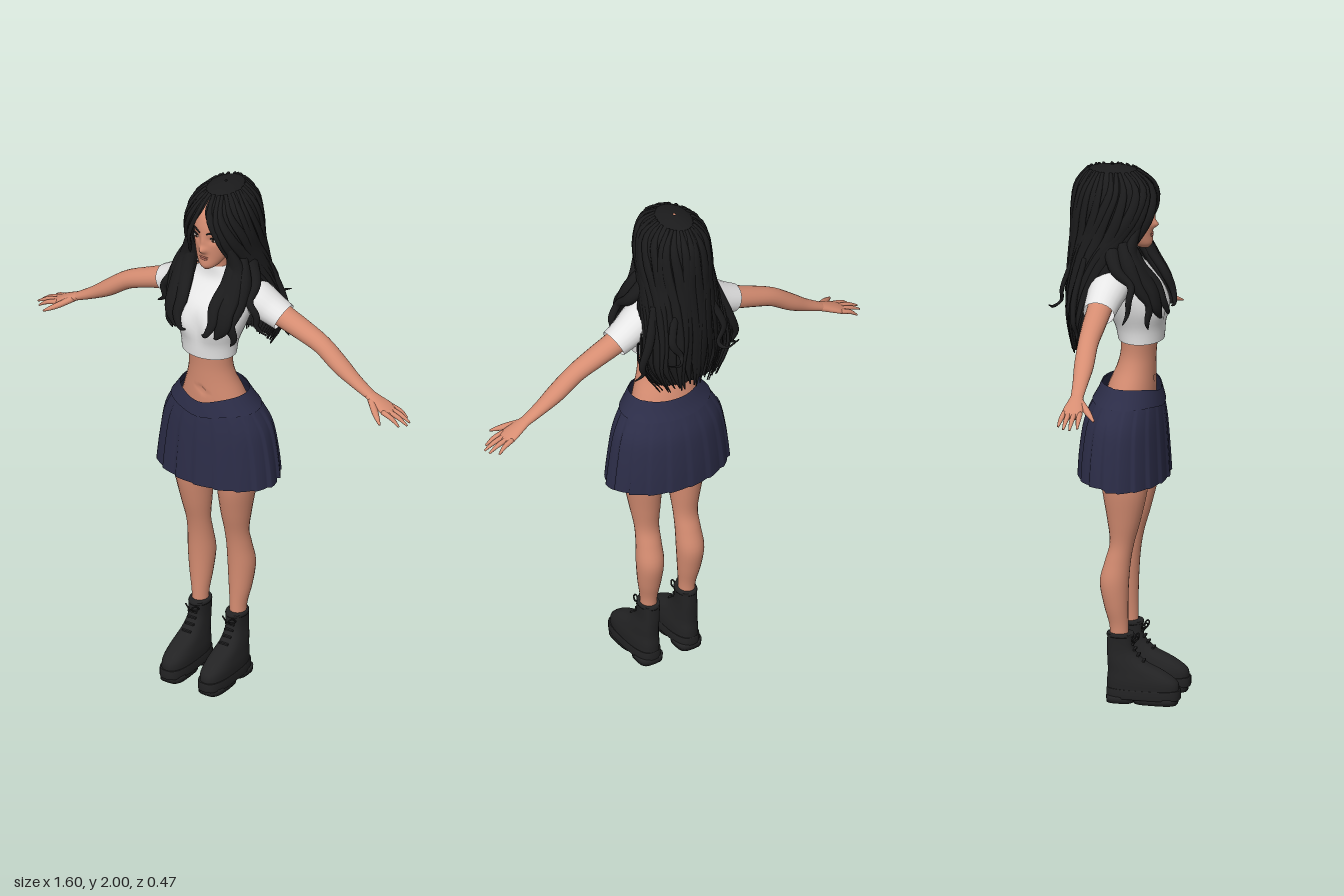
import * as THREE from 'three';

const material = (name, color, double) => {
  const m = new THREE.MeshStandardMaterial({ color });
  m.name = name;
  if (double) m.side = THREE.DoubleSide;
  return m;
};
const gauss = (d, w) => Math.exp(-(d * d) / (w * w));

// Smooth interpolation through rows of numbers
function sample(rows, t) {
  const n = rows.length - 1, f = t * n, i = Math.min(Math.floor(f), n - 1), k = f - i;
  const row = j => rows[Math.max(0, Math.min(n, j))];
  return rows[0].map((_, c) => {
    const a = row(i - 1)[c], b = row(i)[c], d = row(i + 1)[c], e = row(i + 2)[c];
    return b + 0.5 * k * (d - a + k * (2 * a - 5 * b + 4 * d - e + k * (3 * (b - d) + e - a)));
  });
}

// Sweeps an ellipse along rows of [x, y, z, width radius, depth radius].
// Without "up" the rings stay level and the rows must run from bottom to top.
function sweep(rows, { segs = 20, steps = 24, up, warp, power = 1, cap = true } = {}) {
  const pos = [], index = [];
  for (let j = 0; j <= steps; j++) {
    const t = j / steps, [x, y, z, a, b] = sample(rows, t);
    const U = new THREE.Vector3(1, 0, 0), V = new THREE.Vector3(0, 0, 1);
    if (up) {
      const p = sample(rows, Math.max(0, t - 0.01)), q = sample(rows, Math.min(1, t + 0.01));
      const T = new THREE.Vector3(q[0] - p[0], q[1] - p[1], q[2] - p[2]).normalize();
      V.copy(up).addScaledVector(T, -T.dot(up)).normalize();
      U.crossVectors(T, V);
    }
    for (let i = 0; i < segs; i++) {
      const th = i / segs * Math.PI * 2, s = Math.sin(th), c = Math.cos(th);
      const P = new THREE.Vector3(x, y, z)
        .addScaledVector(U, Math.sign(s) * Math.abs(s) ** power * Math.max(a, 0.0008))
        .addScaledVector(V, Math.sign(c) * Math.abs(c) ** power * Math.max(b, 0.0008));
      if (warp) warp(P, th, t);
      pos.push(P.x, P.y, P.z);
    }
  }
  for (let j = 0; j < steps; j++) for (let i = 0; i < segs; i++) {
    const a = j * segs + i, b = j * segs + (i + 1) % segs;
    index.push(a, b, a + segs, b, b + segs, a + segs);
  }
  if (cap) for (const end of [0, 1]) {
    const c = pos.length / 3, base = end * steps * segs;
    pos.push(...sample(rows, end).slice(0, 3));
    for (let i = 0; i < segs; i++) {
      const a = base + i, b = base + (i + 1) % segs;
      index.push(c, end ? a : b, end ? b : a);
    }
  }
  return geometry(pos, index);
}

function geometry(pos, index) {
  const g = new THREE.BufferGeometry();
  g.setAttribute('position', new THREE.Float32BufferAttribute(pos, 3));
  g.setIndex(index);
  g.computeVertexNormals();
  return g;
}

export function createModel() {
  const model = new THREE.Group();
  const skin = material('skin', 0xd68d72), white = material('white cloth', 0xe6e6e6, true);
  const navy = material('navy cloth', 0x2c2d48, true), hair = material('black hair', 0x1b1b1c, true);
  const leather = material('black leather', 0x232324), lip = material('lips', 0xb56c5c);
  const eyeWhite = material('eye white', 0xe9e2dc), iris = material('dark brown', 0x35211a);
  const add = (name, geo, mat) => {
    const m = new THREE.Mesh(geo, mat);
    m.name = name;
    model.add(m);
    return m;
  };
  const ball = (name, mat, x, y, z, a, b, c) => {
    const m = add(name, new THREE.SphereGeometry(1, 20, 14), mat);
    m.position.set(x, y, z);
    m.scale.set(a, b, c);
  };
  const mirror = (rows, s) => rows.map(([x, ...rest]) => [x * s, ...rest]);
  const Z = new THREE.Vector3(0, 0, 1);

  // Torso, briefs and neck
  add('midriff', sweep([[0, .95, .03, .16, .12], [0, 1.08, .03, .15, .1], [0, 1.18, .045, .118, .085],
    [0, 1.25, .06, .094, .07], [0, 1.31, .068, .086, .064], [0, 1.39, .072, .096, .068]],
    { segs: 32, warp: p => { if (p.z > .08) p.z -= .012 * gauss(p.x, .008) * gauss(p.y - 1.2, .01); } }), skin);
  add('briefs', sweep([[0, .835, .03, .02, .04], [0, .87, .03, .09, .09], [0, .96, .03, .158, .12]], { segs: 28, steps: 10 }), white);
  add('neck', sweep([[0, 1.62, .01, .05, .045], [0, 1.69, .022, .04, .04], [0, 1.77, .03, .045, .05]], { steps: 10 }), skin);

  // Cropped top
  add('croppedTop', sweep([[0, 1.355, .078, .106, .083], [0, 1.41, .074, .113, .092], [0, 1.48, .064, .137, .118],
    [0, 1.55, .04, .152, .112], [0, 1.605, .016, .15, .086], [0, 1.643, .012, .092, .06], [0, 1.69, .021, .043, .044]],
    { segs: 40, cap: false, warp: p => { if (p.z > .05) p.z -= .02 * gauss(p.x, .03) * gauss(p.y - 1.48, .05); } }), white);

  // Skirt with pleats that open toward the hem
  const dip = p => { if (p.z > 0) p.y -= .028 * gauss(p.x, .08) * Math.max(0, (p.y - 1) / .19); };
  add('skirt', sweep([[0, .832, .016, .25, .166], [0, .93, .016, .238, .16], [0, 1.04, .02, .217, .148],
    [0, 1.11, .03, .183, .13], [0, 1.15, .037, .156, .116], [0, 1.185, .042, .134, .106]],
    { segs: 144, cap: false, warp: (p, th, t) => {
      const pleat = 1 - .045 * (1 - t) * ((th / Math.PI / 2 * 18) % 1);
      p.x *= pleat;
      p.z *= pleat;
      if (p.z < 0) p.y += .012 * (1 - t);
      dip(p);
    } }), navy);
  add('waistband', sweep([[0, 1.125, .032, .178, .13], [0, 1.155, .038, .156, .119], [0, 1.192, .043, .132, .107]],
    { segs: 48, steps: 8, cap: false, warp: dip }), navy);

  for (const s of [1, -1]) {
    const side = s > 0 ? 'left' : 'right';
    const limb = (name, rows, mat, opt) => add(side + name, sweep(mirror(rows, s), opt), mat);

    // Arm, sleeve and hand
    limb('Arm', [[.14, 1.58, -.02, .048, .05], [.24, 1.525, -.024, .043, .045], [.33, 1.49, -.025, .038, .042],
      [.42, 1.452, -.025, .034, .037], [.5, 1.395, -.022, .031, .036], [.57, 1.35, -.02, .022, .028],
      [.645, 1.31, -.018, .014, .022]], skin, { up: Z });
    limb('Sleeve', [[.09, 1.59, -.005, .055, .07], [.14, 1.573, -.012, .062, .072], [.2, 1.54, -.02, .057, .064],
      [.255, 1.515, -.023, .051, .058]], white, { up: Z, steps: 14, cap: false });
    limb('Palm', [[.625, 1.32, -.018, .015, .022], [.66, 1.303, -.018, .015, .03], [.7, 1.284, -.019, .013, .038],
      [.73, 1.27, -.02, .009, .034]], skin, { up: Z, steps: 10 });
    [[.01, .016, .78], [-.01, -.008, .8], [-.03, -.032, .795], [-.047, -.057, .768]].forEach(([z0, z1, x]) =>
      limb('Finger', [[.705, 1.281, z0, .009, .01], [(x + .715) / 2, 1.268, (z0 + z1) / 2, .008, .009],
        [x, 1.246, z1, .003, .004]], skin, { up: Z, segs: 10, steps: 8 }));
    limb('Thumb', [[.645, 1.308, -.005, .012, .014], [.685, 1.285, .03, .011, .013], [.71, 1.272, .05, .008, .009],
      [.73, 1.262, .066, .003, .004]], skin, { up: Z, segs: 10, steps: 10 });

    // Leg
    limb('Leg', [[.082, .2, .015, .03, .033], [.082, .28, .013, .031, .034], [.085, .36, .003, .043, .044],
      [.086, .45, -.003, .051, .053], [.084, .53, .01, .047, .047], [.083, .6, .025, .046, .045],
      [.086, .69, .033, .057, .062], [.092, .81, .037, .07, .084], [.09, .93, .035, .078, .09]], skin, { steps: 36, segs: 24 });

    // Boot: upper, sole, heel and laces
    limb('Boot', [[.083, .04, .103, .05, .132], [.083, .08, .1, .051, .13], [.083, .115, .078, .046, .105],
      [.083, .15, .042, .04, .07], [.081, .195, .02, .035, .05], [.08, .255, .018, .036, .047]], leather, { power: .8, segs: 28 });
    limb('Sole', [[.083, .018, .105, .05, .133], [.083, .022, .105, .053, .136], [.083, .05, .105, .053, .136],
      [.083, .053, .105, .051, .134]], leather, { power: .7, segs: 32, steps: 6 });
    for (const [z, r] of [[.02, .05], [.15, .08]])
      limb('Tread', [[.083, 0, z, .047, r], [.083, .025, z, .05, r]], leather, { power: .6, steps: 2 });
    limb('Cuff', [[.08, .243, .018, .038, .049], [.08, .25, .018, .04, .051], [.08, .258, .018, .037, .048]], leather, { steps: 4 });
    for (const d of [1, -1]) {
      const loop = add(side + 'LaceLoop', new THREE.TorusGeometry(.013, .003, 6, 16), leather);
      loop.position.set(s * .08 + d * .016, .237, .076);
      loop.rotation.set(.6, d * .6, 0);
    }
    for (let i = 0; i < 4; i++) {
      const lace = add(side + 'Lace', new THREE.BoxGeometry(.036, .006, .008), leather);
      lace.position.set(s * .081, .155 + i * .021, [.105, .086, .073, .067][i]);
    }

    // Eye, lash line and brow
    ball(side + 'EyeWhite', eyeWhite, s * .036, 1.826, .098, .017, .008, .012);
    ball(side + 'Iris', iris, s * .036, 1.826, .104, .007, .0075, .0075);
    limb('LashLine', [[.016, 1.829, .107, .002, .003], [.036, 1.836, .108, .0035, .004], [.057, 1.83, .095, .002, .003]],
      hair, { up: Z, segs: 8, steps: 10 });
    limb('Brow', [[.014, 1.851, .119, .003, .003], [.038, 1.859, .111, .004, .003], [.062, 1.852, .088, .002, .003]],
      hair, { up: Z, segs: 8, steps: 10 });
  }

  // Head with nose and eye sockets
  add('head', sweep([[0, 1.697, .088, .014, .018], [0, 1.715, .074, .038, .044], [0, 1.75, .052, .06, .066],
    [0, 1.79, .037, .072, .083], [0, 1.83, .03, .078, .091], [0, 1.88, .02, .08, .098], [0, 1.93, .008, .07, .09],
    [0, 1.97, -.005, .035, .05]], { segs: 56, steps: 56, warp: p => {
    if (p.z < .06) return;
    p.z += .02 * gauss(p.x, .014) * gauss(p.y - 1.785, .014) + .008 * gauss(p.x, .009) * gauss(p.y - 1.815, .025);
    p.z -= .008 * gauss(Math.abs(p.x) - .036, .02) * gauss(p.y - 1.826, .014);
  } }), skin);
  ball('upperLip', lip, 0, 1.752, .111, .021, .005, .011);
  ball('lowerLip', lip, 0, 1.744, .111, .018, .006, .011);

  // Hair shell, open around the face: [y, z, width, depth, half angle of the opening]
  const shell = [[1.335, -.115, .12, .045, 1.6], [1.42, -.095, .175, .075, 1.55], [1.5, -.085, .175, .095, 1.45],
    [1.6, -.07, .155, .11, 1.25], [1.7, -.05, .137, .125, .9], [1.76, -.035, .128, .138, .68], [1.82, -.02, .125, .152, .5],
    [1.88, -.018, .123, .152, .3], [1.945, -.02, .1, .132, .04], [1.985, -.028, .058, .085, 0], [2, -.03, .004, .006, 0]];
  const onShell = (t, u, out = 0) => {
    const [y, z, a, b, open] = sample(shell, t), th = open + u * (Math.PI * 2 - 2 * open);
    return [(a + out) * Math.sin(th), y, z + (b + out) * Math.cos(th)];
  };
  const pos = [], index = [], nu = 120, nv = 50;
  for (let j = 0; j <= nv; j++) for (let i = 0; i <= nu; i++)
    pos.push(...onShell(j / nv, i / nu, .003 * Math.cos(i / nu * Math.PI * 48) * (1 - j / nv)));
  for (let j = 0; j < nv; j++) for (let i = 0; i < nu; i++) {
    const a = j * (nu + 1) + i, b = a + nu + 1;
    index.push(a, a + 1, b, a + 1, b + 1, b);
  }
  add('hairShell', geometry(pos, index), hair);

  // Long strands lying over the shell, with uneven tips
  const strands = 26;
  for (let i = 0; i < strands; i++) {
    const u = .015 + .97 * i / (strands - 1), rows = [], tip = -.025 * Math.abs(Math.sin(i * 2.3));
    for (let k = 0; k <= 7; k++) {
      const f = k / 7, [x, y, z] = onShell(.9 * (1 - f), u + .012 * Math.sin(f * 7 + i * 1.7), .002 + .008 * f);
      rows.push([x, y + tip * f, z, [.006, .014, .018, .02, .021, .02, .015, .002][k], .008 - .006 * f * f]);
    }
    const mid = onShell(.4, u), up = new THREE.Vector3(mid[0], 0, mid[2] + .06).normalize();
    add('hairStrand', sweep(rows, { segs: 8, up }), hair);
  }

  // Wavy locks falling over the chest, and wisps at the back
  const locks = [
    [[.085, 1.8, .085, .012, .012], [.1, 1.71, .06, .035, .025], [.105, 1.64, .09, .044, .026], [.1, 1.57, .136, .046, .022],
      [.105, 1.51, .155, .034, .02], [.085, 1.46, .168, .006, .006]],
    [[.09, 1.74, .055, .02, .02], [.09, 1.65, .095, .03, .02], [.07, 1.58, .15, .024, .016], [.075, 1.52, .176, .018, .012],
      [.055, 1.475, .188, .01, .007], [.035, 1.468, .18, .002, .002]],
    [[.11, 1.74, .03, .02, .02], [.135, 1.66, .06, .03, .03], [.14, 1.58, .1, .026, .022], [.125, 1.52, .135, .024, .015],
      [.14, 1.46, .13, .014, .01], [.125, 1.425, .13, .002, .002]],
    [[.12, 1.72, -.01, .02, .03], [.16, 1.65, .02, .022, .022], [.17, 1.6, .075, .016, .014], [.2, 1.55, .075, .014, .012],
      [.2, 1.5, .07, .01, .008], [.235, 1.47, .06, .002, .002]]];
  const wisps = [
    [[.13, 1.68, -.1, .015, .012], [.17, 1.55, -.13, .018, .012], [.2, 1.46, -.13, .014, .01], [.19, 1.41, -.12, .008, .006],
      [.22, 1.385, -.11, .002, .002]],
    [[.08, 1.65, -.16, .015, .01], [.11, 1.56, -.19, .015, .008], [.08, 1.5, -.2, .01, .006], [.1, 1.48, -.225, .006, .004],
      [.15, 1.5, -.23, .002, .002]]];
  for (const s of [1, -1]) {
    for (const rows of locks) add('chestLock', sweep(mirror(rows, s), { segs: 12, up: Z }), hair);
    for (const rows of wisps) add('backWisp', sweep(mirror(rows, s), { segs: 8, up: new THREE.Vector3(s * .3, 0, -1) }), hair);
  }
  return model;
}
